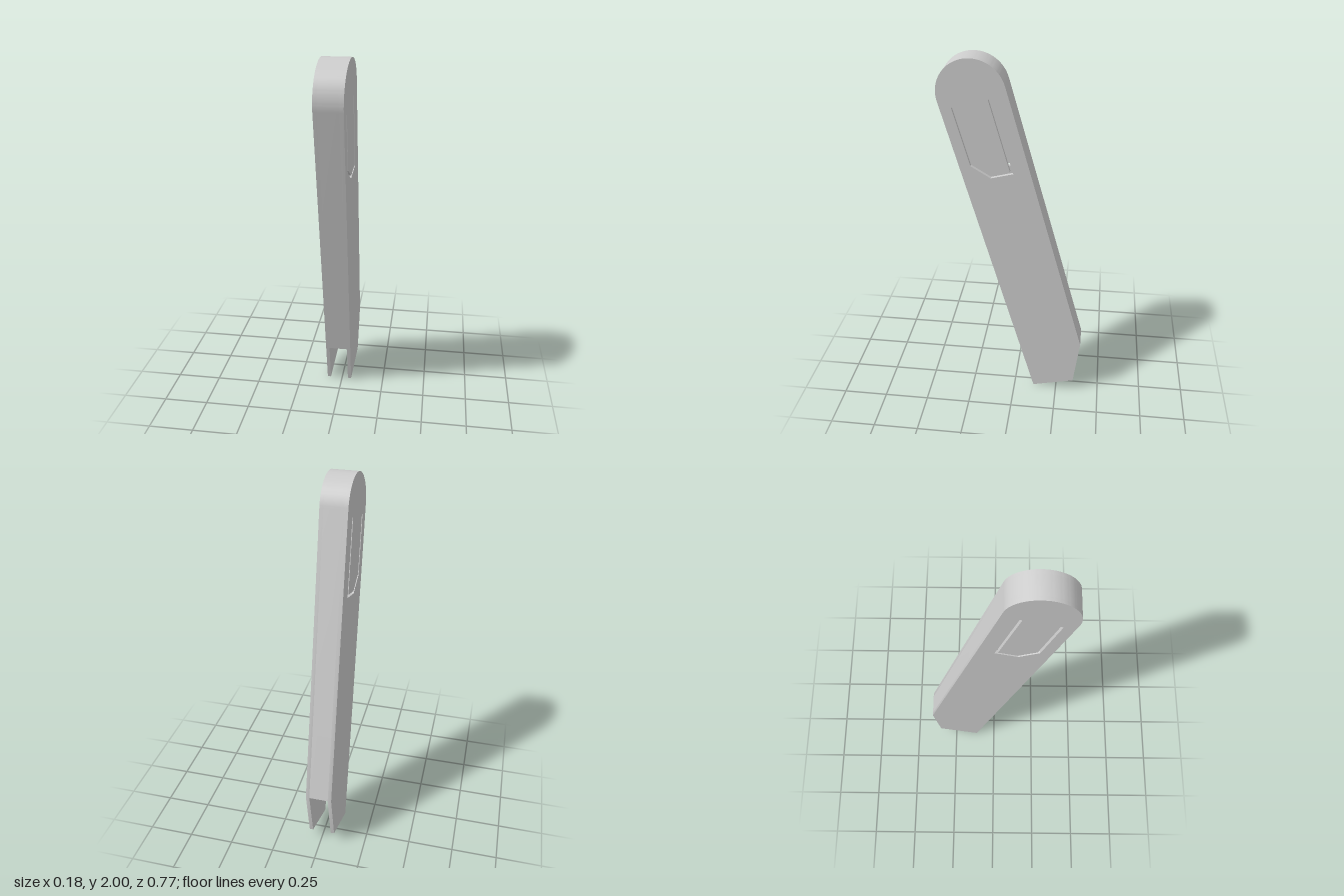
import * as THREE from 'three';
import { toCreasedNormals } from 'three/addons/utils/BufferGeometryUtils.js';

const R = 0.176;          // half breadth of the arm and radius of its round end
const HALF = 0.0725;      // half thickness
const WALL = 0.02;
const TIP = -1.844;       // lower end of the side plates
const FLOOR = -1.584;     // lower end of the front and back walls

// Places arm coordinates (u across, v along, w sideways) into the leaning pose
const place = new THREE.Matrix4()
  .makeRotationY(-Math.PI / 2)
  .premultiply(new THREE.Matrix4().makeRotationX(0.2714))
  .premultiply(new THREE.Matrix4().makeTranslation(0, 1.824, 0.21))
  .premultiply(new THREE.Matrix4().set(
    1, 0.023, -0.045, -0.022,
    0, 1, 0, 0,
    0, 0, 1, 0,
    0, 0, 0, 1));

function extrude(name, shape, w, depth, material) {
  const geo = new THREE.ExtrudeGeometry(shape, { depth, bevelEnabled: false, curveSegments: 32 });
  geo.translate(0, 0, w).applyMatrix4(place);
  const mesh = new THREE.Mesh(toCreasedNormals(geo, 0.5), material);
  mesh.name = name;
  return mesh;
}

export function createModel() {
  const group = new THREE.Group();
  group.name = 'arm';
  const material = new THREE.MeshStandardMaterial({ color: 0xcccccc });

  // Side plate: round top, chamfered rear foot
  const plate = new THREE.Shape();
  plate.moveTo(R, TIP);
  plate.lineTo(R, 0);
  plate.absarc(0, 0, R, 0, Math.PI, false);
  plate.lineTo(-R, FLOOR);
  plate.lineTo(-0.069, TIP);
  plate.closePath();

  // Narrow slot around the spring tab
  const slot = [
    [0.117, -0.045], [0.117, -0.365], [0.033, -0.452], [-0.089, -0.452], [-0.089, -0.045],
    [-0.075, -0.045], [-0.075, -0.438], [0.027, -0.438], [0.103, -0.359], [0.103, -0.045],
  ];
  plate.holes.push(new THREE.Path(slot.map(([u, v]) => new THREE.Vector2(u, v))));

  group.add(extrude('leftPlate', plate, -HALF, WALL, material));
  group.add(extrude('rightPlate', plate, HALF - WALL, WALL, material));

  // Wall running up the front, over the round top and down the back
  const r = R - WALL;
  const band = new THREE.Shape();
  band.moveTo(R, FLOOR);
  band.lineTo(R, 0);
  band.absarc(0, 0, R, 0, Math.PI, false);
  band.lineTo(-R, FLOOR);
  band.lineTo(-r, FLOOR);
  band.lineTo(-r, 0);
  band.absarc(0, 0, r, Math.PI, 0, true);
  band.lineTo(r, FLOOR);
  band.closePath();
  group.add(extrude('edgeWall', band, -HALF + WALL, 2 * (HALF - WALL), material));

  return group;
}
